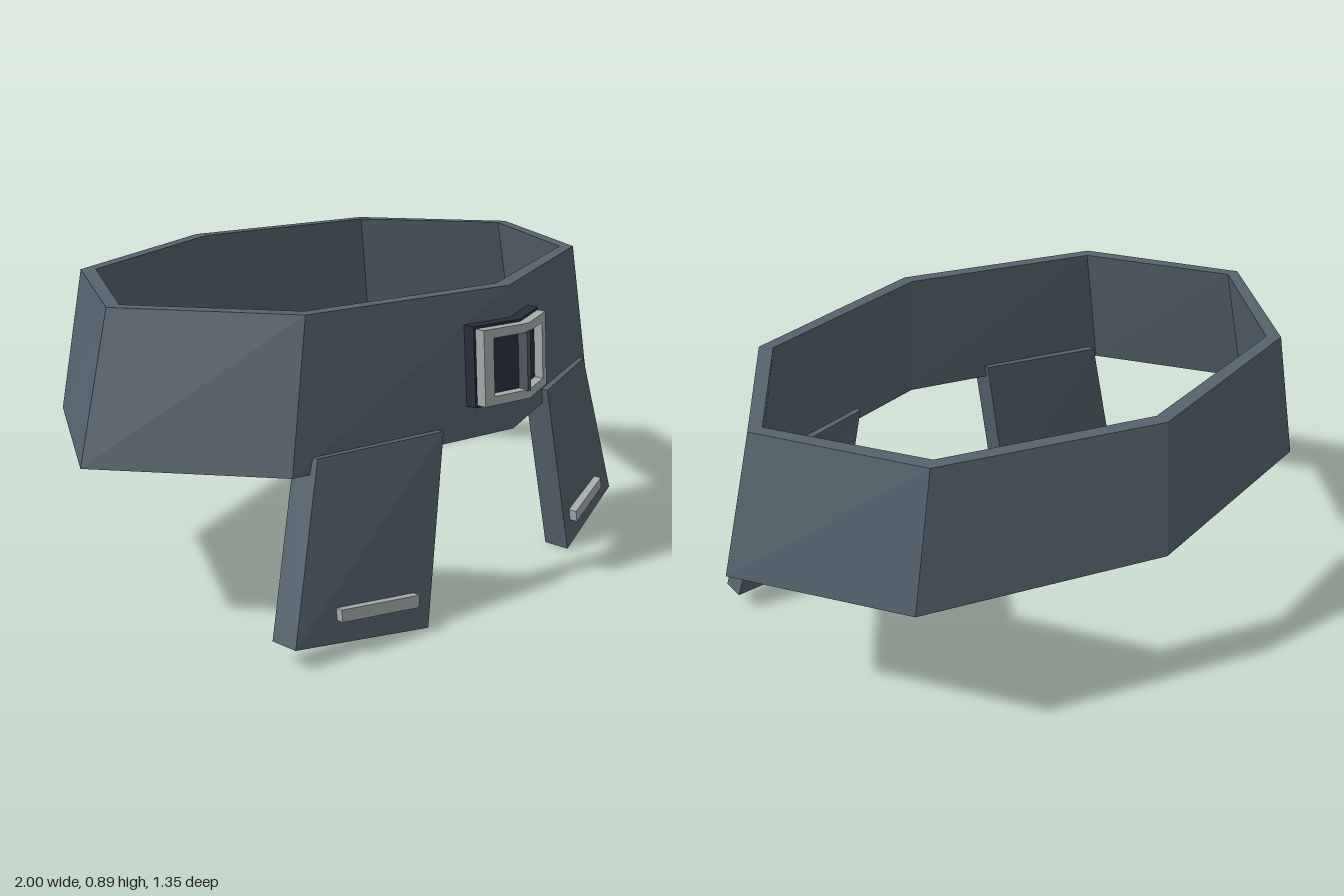
import * as THREE from 'three';

const cloth = new THREE.MeshStandardMaterial({ color: 0x55636d, flatShading: true });
const metal = new THREE.MeshStandardMaterial({ color: 0xa4acac, flatShading: true });
const dark = new THREE.MeshStandardMaterial({ color: 0x272e3a, flatShading: true });
const prongGrey = new THREE.MeshStandardMaterial({ color: 0x50585e, flatShading: true });

function add(parent, name, geometry, material) {
  const mesh = new THREE.Mesh(geometry, material);
  mesh.name = name;
  parent.add(mesh);
  return mesh;
}

// Flat-shaded geometry from a list of quads, corners counter-clockwise
function fromQuads(quads) {
  const pos = [];
  for (const [a, b, c, d] of quads) pos.push(...a, ...b, ...c, ...a, ...c, ...d);
  const geo = new THREE.BufferGeometry();
  geo.setAttribute('position', new THREE.Float32BufferAttribute(pos, 3));
  geo.computeVertexNormals();
  return geo;
}

// Flared eight-sided band: a four-corner section swept round the outline
function bandGeometry() {
  const outline = [[0, 0.65], [0.7, 0.46], [1, 0], [0.7, -0.46], [0, -0.65], [-0.7, -0.46], [-1, 0], [-0.7, 0.46]];
  // y, x scale, z scale: outer bottom, outer top, inner top, inner bottom
  const section = [[0.487, 1, 1], [0.89, 0.89, 0.952], [0.89, 0.847, 0.885], [0.487, 0.955, 0.935]];
  const at = (j, i) => {
    const [y, sx, sz] = section[j % 4];
    const [x, z] = outline[i % 8];
    return [x * sx, y, z * sz - 0.024];
  };
  const quads = [];
  for (let j = 0; j < 4; j++) {
    for (let i = 0; i < 8; i++) quads.push([at(j, i), at(j, i + 1), at(j + 1, i + 1), at(j + 1, i)]);
  }
  return fromQuads(quads);
}

// Slab from four front corners and a depth; side -1 mirrors it
function slab(corners, depth, side) {
  let front = corners.map(([x, y, z]) => [x * side, y, z]);
  if (side < 0) front = front.reverse();
  const back = front.map(([x, y, z]) => [x, y, z - depth]);
  const quads = [front, [...back].reverse()];
  for (let i = 0; i < 4; i++) {
    const k = (i + 1) % 4;
    quads.push([front[k], front[i], back[i], back[k]]);
  }
  return fromQuads(quads);
}

// Extruded outline folded back at x = 0 and leaned to follow the band
function folded(points, side, z, depth) {
  const shape = new THREE.Shape(points.map(([x, y]) => new THREE.Vector2(x * side, y)));
  const geo = new THREE.ExtrudeGeometry(shape, { depth, bevelEnabled: false });
  const p = geo.attributes.position;
  for (let i = 0; i < p.count; i++) {
    const x = p.getX(i), y = p.getY(i);
    p.setXYZ(i, x, y + 0.69, p.getZ(i) + z - 0.28 * Math.abs(x) - 0.0675 * y);
  }
  geo.computeVertexNormals();
  return geo;
}

const rect = (w, h) => [[0, -h], [w, -h], [w, h], [0, h]];

export function createModel() {
  const model = new THREE.Group();
  model.name = 'belt';
  add(model, 'band', bandGeometry(), cloth);

  const buckle = new THREE.Group();
  buckle.name = 'buckle';
  model.add(buckle);

  const halfFrame = [[0, -0.105], [0.15, -0.105], [0.15, 0.105], [0, 0.105],
    [0, 0.08], [0.118, 0.08], [0.118, -0.08], [0, -0.08]];
  const flap = [[0.355, 0.003, 0.61], [0.775, 0.065, 0.51], [0.638, 0.53, 0.465], [0.255, 0.53, 0.573]];
  const bar = [[0.4, 0.08, 0.612], [0.643, 0.108, 0.553], [0.643, 0.142, 0.55], [0.395, 0.114, 0.61]];

  for (const side of [1, -1]) {
    const label = side > 0 ? 'left' : 'right';
    // Buckle halves
    add(buckle, label + 'BuckleBacking', folded(rect(0.156, 0.112), side, 0.605, 0.037), dark);
    add(buckle, label + 'BuckleFrame', folded(halfFrame, side, 0.635, 0.034), metal);
    add(buckle, label + 'BuckleProng', folded(rect(0.008, 0.084), side, 0.635, 0.036), prongGrey);
    // Hanging flaps with trim bars
    add(model, label + 'Flap', slab(flap, 0.08, side), cloth);
    add(model, label + 'FlapBar', slab(bar, 0.035, side), metal);
  }
  return model;
}
